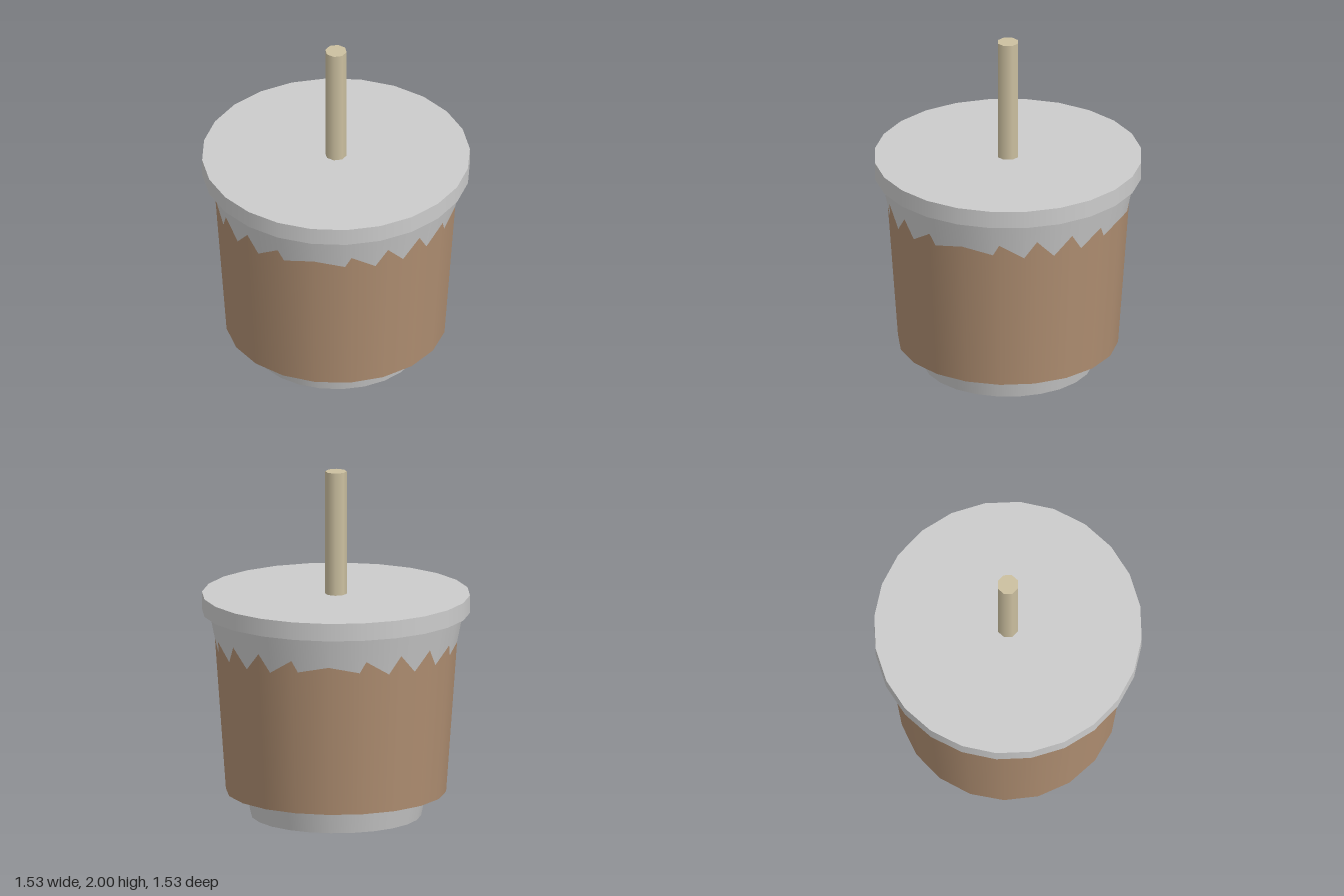
import * as THREE from 'three';

// Capped, smooth-shaded tapered cylinder standing between two heights
function tapered(name, color, rBottom, rTop, y0, y1, sides) {
  const geometry = new THREE.CylinderGeometry(rTop, rBottom, y1 - y0, sides);
  geometry.translate(0, (y0 + y1) / 2, 0);
  const mesh = new THREE.Mesh(geometry, new THREE.MeshStandardMaterial({ color }));
  mesh.name = name;
  return mesh;
}

export function createModel() {
  const group = new THREE.Group();
  group.name = 'drinkCup';

  group.add(
    // cup body, widening to the lid
    tapered('cup', 0xcccccc, 0.485, 0.724, 0, 1.185, 24),
    // sleeve with fewer sides and less taper: its facets cross the cup wall
    // near the top, which makes the jagged upper edge
    tapered('sleeve', 0xb08f72, 0.627, 0.697, 0.14, 1.12, 20),
    // flat overhanging lid
    tapered('lid', 0xcccccc, 0.763, 0.763, 1.185, 1.287, 24),
    // straw through the middle of the lid
    tapered('straw', 0xccc0a0, 0.062, 0.062, 1.2, 2, 8)
  );
  return group;
}
